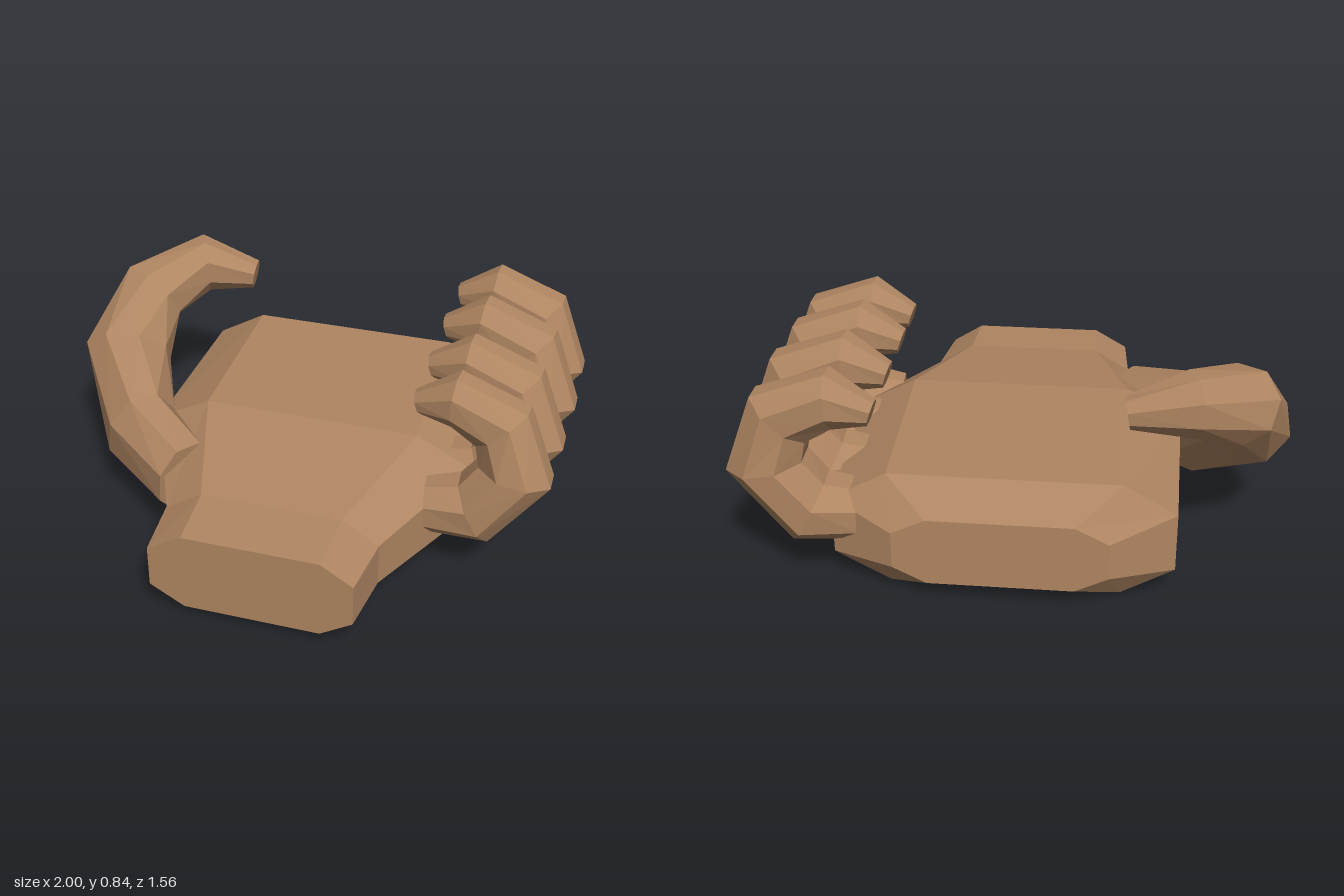
import * as THREE from 'three';

const skin = new THREE.MeshStandardMaterial({ color: 0xb08662, flatShading: true });
skin.name = 'skin';

// Skin a closed solid over rings that run counter-clockwise about the travel direction
function loft(name, rings) {
  const n = rings[0].length, pos = [];
  const tri = (...pts) => pts.forEach((p) => pos.push(p.x, p.y, p.z));
  for (let i = 0; i < rings.length - 1; i++) {
    for (let j = 0; j < n; j++) {
      const k = (j + 1) % n;
      tri(rings[i][j], rings[i][k], rings[i + 1][k]);
      tri(rings[i][j], rings[i + 1][k], rings[i + 1][j]);
    }
  }
  const first = rings[0], last = rings[rings.length - 1];
  for (let j = 1; j < n - 1; j++) {
    tri(first[0], first[j + 1], first[j]);
    tri(last[0], last[j], last[j + 1]);
  }
  const geo = new THREE.BufferGeometry();
  geo.setAttribute('position', new THREE.Float32BufferAttribute(pos, 3));
  geo.computeVertexNormals();
  const mesh = new THREE.Mesh(geo, skin);
  mesh.name = name;
  return mesh;
}

// Eight-sided digit along joints [x, y, z, halfWidth along ref, halfDepth]
function digit(name, joints, ref) {
  const pts = joints.map(([x, y, z]) => new THREE.Vector3(x, y, z));
  const dir = (a, b) => pts[b].clone().sub(pts[a]).normalize();
  const end = pts.length - 1;
  const rings = joints.map(([, , , w, d], i) => {
    const t = new THREE.Vector3();
    if (i > 0) t.add(dir(i - 1, i));
    if (i < end) t.add(dir(i, i + 1));
    t.normalize();
    const u = ref.clone().addScaledVector(t, -ref.dot(t)).normalize();
    const v = t.clone().cross(u);
    const k = 1 / Math.cos(Math.PI / 8);
    return Array.from({ length: 8 }, (_, j) => {
      const a = (j + 0.5) * Math.PI / 4;
      return pts[i].clone()
        .addScaledVector(u, Math.cos(a) * w * k)
        .addScaledVector(v, Math.sin(a) * d * k);
    });
  });
  return loft(name, rings);
}

// Palm and wrist: chamfered sections from knuckles to wrist
function palm() {
  // z, outer left/right x, flat left/right x, bottom, lower chamfer, upper chamfer, top
  const sections = [
    [-0.78, -0.36, 0.40, -0.24, 0.28, 0.07, 0.13, 0.27, 0.33],
    [-0.67, -0.59, 0.63, -0.40, 0.43, 0.00, 0.11, 0.335, 0.445],
    [0.05, -0.60, 0.66, -0.39, 0.45, 0.00, 0.11, 0.335, 0.445],
    [0.54, -0.38, 0.43, -0.24, 0.29, 0.03, 0.115, 0.285, 0.37],
    [0.78, -0.36, 0.40, -0.23, 0.28, 0.04, 0.115, 0.28, 0.355],
  ];
  return loft('palm', sections.map(([z, xl, xr, fl, fr, y0, y1, y2, y3]) =>
    [[fl, y0], [fr, y0], [xr, y1], [xr, y2], [fr, y3], [fl, y3], [xl, y2], [xl, y1]]
      .map(([x, y]) => new THREE.Vector3(x, y, z))));
}

export function createModel() {
  const hand = new THREE.Group();
  hand.name = 'hand';
  hand.add(palm());

  // Four curled fingers share one profile: x, y, halfWidth, halfDepth
  const curl = [
    [0.53, 0.26, 0.095, 0.105],
    [0.715, 0.275, 0.13, 0.135],
    [0.86, 0.465, 0.128, 0.14],
    [0.795, 0.65, 0.098, 0.125],
    [0.61, 0.73, 0.09, 0.105],
    [0.465, 0.685, 0.045, 0.047],
  ];
  // name, root z, tip z, scale
  const fingers = [
    ['littleFinger', 0.22, 0.16, 0.955],
    ['ringFinger', -0.04, -0.09, 0.98],
    ['middleFinger', -0.32, -0.385, 1],
    ['indexFinger', -0.62, -0.665, 0.985],
  ];
  for (const [name, z0, z1, s] of fingers) {
    hand.add(digit(name, curl.map(([x, y, w, d], i) => [
      0.6 + (x - 0.6) * s, 0.4 + (y - 0.4) * s,
      THREE.MathUtils.lerp(z0, z1, i / 5), w * s, d * s,
    ]), new THREE.Vector3(0, 0, 1)));
  }

  // Thumb sweeps out, up and back over the palm
  hand.add(digit('thumb', [
    [-0.39, 0.25, 0.30, 0.15, 0.125],
    [-0.66, 0.29, 0.10, 0.19, 0.135],
    [-0.83, 0.46, -0.20, 0.15, 0.165],
    [-0.79, 0.64, -0.40, 0.135, 0.14],
    [-0.61, 0.72, -0.57, 0.11, 0.10],
    [-0.40, 0.685, -0.59, 0.055, 0.05],
  ], new THREE.Vector3(0, 1, 0)));

  return hand;
}
